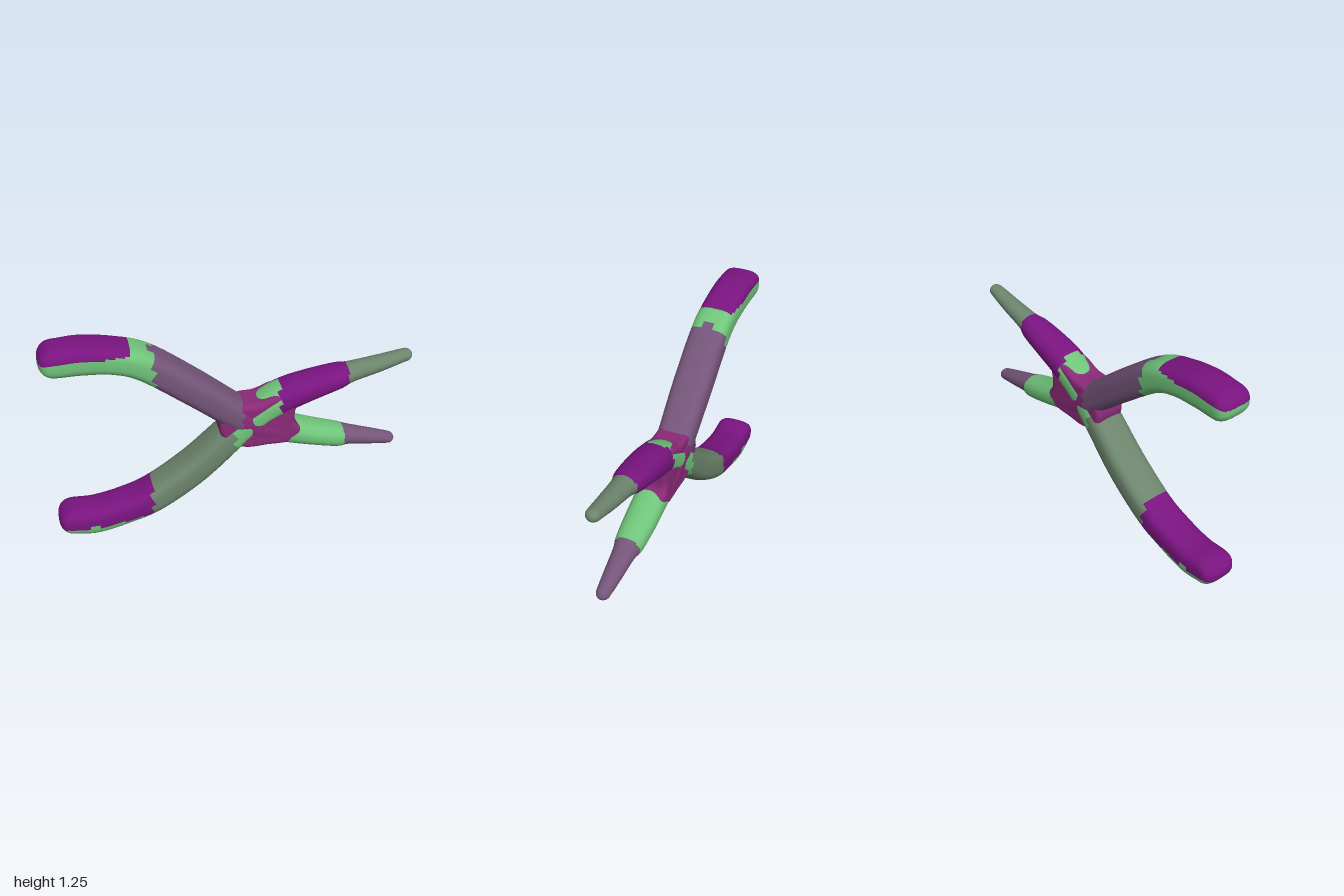
import * as THREE from 'three';

const COLORS = {
  purple: 0x7a1480, green: 0x70c47a, mauve: 0x75557a, sage: 0x6c846c, plum: 0x8a2a78,
};

// signed power, turns a circle into a superellipse
const spow = (v, e) => Math.sign(v) * Math.pow(Math.abs(v), e);

// Sweeps a superellipse along a path with rounded ends.
// stations: [x, y, halfHeight, halfDepth, squareness]
// paint(x, y) returns [partName, colorName] for each face.
function addArm(group, stations, capStart, capEnd, paint) {
  const rows = 120, sides = 40;
  const path = new THREE.CatmullRomCurve3(stations.map(s => new THREE.Vector3(s[0], s[1], 0)), false, 'catmullrom', 0.5);
  const size = new THREE.CatmullRomCurve3(stations.map(s => new THREE.Vector3(s[2], s[3], s[4])), false, 'catmullrom', 0.5);
  const start = path.getPoint(0), end = path.getPoint(1);
  const positions = [], faces = {};

  for (let i = 0; i <= rows; i++) {
    const t = (1 - Math.cos(Math.PI * i / rows)) / 2;
    const p = path.getPoint(t), tan = path.getTangent(t), r = size.getPoint(t);
    const u = Math.min(1, p.distanceTo(start) / capStart, p.distanceTo(end) / capEnd);
    const h = r.x * Math.sqrt(1 - (1 - u) ** 2);
    const w = r.y * Math.pow(1 - (1 - u) ** r.z, 1 / r.z);
    for (let j = 0; j < sides; j++) {
      const a = 2 * Math.PI * j / sides;
      const c = h * spow(Math.cos(a), 2 / r.z), d = w * spow(Math.sin(a), 2 / r.z);
      positions.push(p.x - tan.y * c, p.y + tan.x * c, d);
    }
  }

  for (let i = 0; i < rows; i++) {
    for (let j = 0; j < sides; j++) {
      const k = (j + 1) % sides;
      const a = i * sides + j, b = i * sides + k, c = b + sides, d = a + sides;
      const mid = o => (positions[a * 3 + o] + positions[c * 3 + o]) / 2;
      const key = paint(mid(0), mid(1)).join('|');
      (faces[key] ||= []).push(a, b, c, a, c, d);
    }
  }

  // normals come from the whole arm so colour borders stay smooth
  const whole = new THREE.BufferGeometry();
  whole.setAttribute('position', new THREE.Float32BufferAttribute(positions, 3));
  whole.setIndex(Object.values(faces).flat());
  whole.computeVertexNormals();
  for (const [key, index] of Object.entries(faces)) {
    const [name, color] = key.split('|');
    const part = whole.clone();
    part.setIndex(index);
    addMesh(group, part.toNonIndexed(), name, color);
  }
}

function addMesh(group, geometry, name, color) {
  const mesh = new THREE.Mesh(geometry, new THREE.MeshStandardMaterial({ color: COLORS[color] }));
  mesh.name = name;
  group.add(mesh);
}

export function createModel() {
  const group = new THREE.Group();
  group.name = 'pliers';

  // upper handle, crossing the pivot into the lower jaw
  addArm(group, [
    [-1.0, 1.165, 0.078, 0.105, 3], [-0.9, 1.165, 0.082, 0.105, 3], [-0.78, 1.165, 0.086, 0.105, 3],
    [-0.62, 1.14, 0.08, 0.105, 3], [-0.46, 1.075, 0.084, 0.105, 3], [-0.22, 0.885, 0.085, 0.105, 3],
    [0.0, 0.695, 0.085, 0.1, 2.8], [0.14, 0.59, 0.085, 0.095, 2.6], [0.3, 0.525, 0.075, 0.09, 2.4],
    [0.45, 0.472, 0.068, 0.088, 2.3], [0.6, 0.425, 0.064, 0.078, 2.2], [0.67, 0.41, 0.055, 0.062, 2],
    [0.82, 0.37, 0.042, 0.048, 2], [0.945, 0.337, 0.03, 0.034, 2],
  ], 0.085, 0.035, (x, y) => {
    if (x < -0.43) return x < -0.53 && y > 1.18 ? ['upperGripTop', 'purple'] : ['upperGrip', 'green'];
    if (x < 0.04) return ['upperHandle', 'mauve'];
    if (x < 0.3) return ['lowerPivotArm', 'plum'];
    return x < 0.63 ? ['lowerJaw', 'green'] : ['lowerJawTip', 'mauve'];
  });

  // lower handle, crossing the pivot into the upper jaw
  addArm(group, [
    [-0.99, 0.105, 0.072, 0.105, 3], [-0.9, 0.102, 0.08, 0.105, 3], [-0.78, 0.092, 0.087, 0.105, 3],
    [-0.62, 0.125, 0.084, 0.105, 3], [-0.45, 0.187, 0.086, 0.105, 3], [-0.22, 0.345, 0.085, 0.105, 3],
    [0.0, 0.55, 0.085, 0.1, 2.8], [0.14, 0.665, 0.085, 0.095, 2.6], [0.28, 0.745, 0.085, 0.098, 2.4],
    [0.42, 0.79, 0.075, 0.096, 2.3], [0.58, 0.828, 0.064, 0.084, 2.2], [0.66, 0.845, 0.055, 0.064, 2],
    [0.82, 0.876, 0.045, 0.052, 2], [0.94, 0.904, 0.036, 0.042, 2], [1.0, 0.914, 0.032, 0.035, 2],
  ], 0.085, 0.035, (x, y) => {
    if (x < -0.47) return y > 0.08 + Math.max(0, x + 0.7) * 0.15 ? ['lowerGripTop', 'purple'] : ['lowerGrip', 'green'];
    if (x < 0) return ['lowerHandle', 'sage'];
    if (x < 0.25) return ['upperPivotArm', 'green'];
    return x < 0.63 ? ['upperJaw', 'purple'] : ['upperJawTip', 'sage'];
  });

  // pivot block that fills the crossing with soft edges
  const bevel = 0.03;
  const outline = [
    [-0.085, 0.62], [-0.06, 0.69], [0.03, 0.755], [0.13, 0.762], [0.25, 0.8], [0.35, 0.755],
    [0.335, 0.68], [0.335, 0.61], [0.37, 0.545], [0.31, 0.48], [0.18, 0.475], [0.05, 0.48], [-0.06, 0.55],
  ];
  const loop = new THREE.CatmullRomCurve3(outline.map(([x, y]) => new THREE.Vector3(x, y, 0)), true);
  const shape = new THREE.Shape(loop.getPoints(60).slice(0, -1).map(p => new THREE.Vector2(p.x, p.y)));
  const block = new THREE.ExtrudeGeometry(shape, {
    depth: 0.12, bevelEnabled: true, bevelThickness: bevel, bevelSize: bevel, bevelOffset: -bevel, bevelSegments: 5,
  });
  block.translate(0, 0, -0.06);
  addMesh(group, block, 'pivotBlock', 'plum');

  return group;
}
